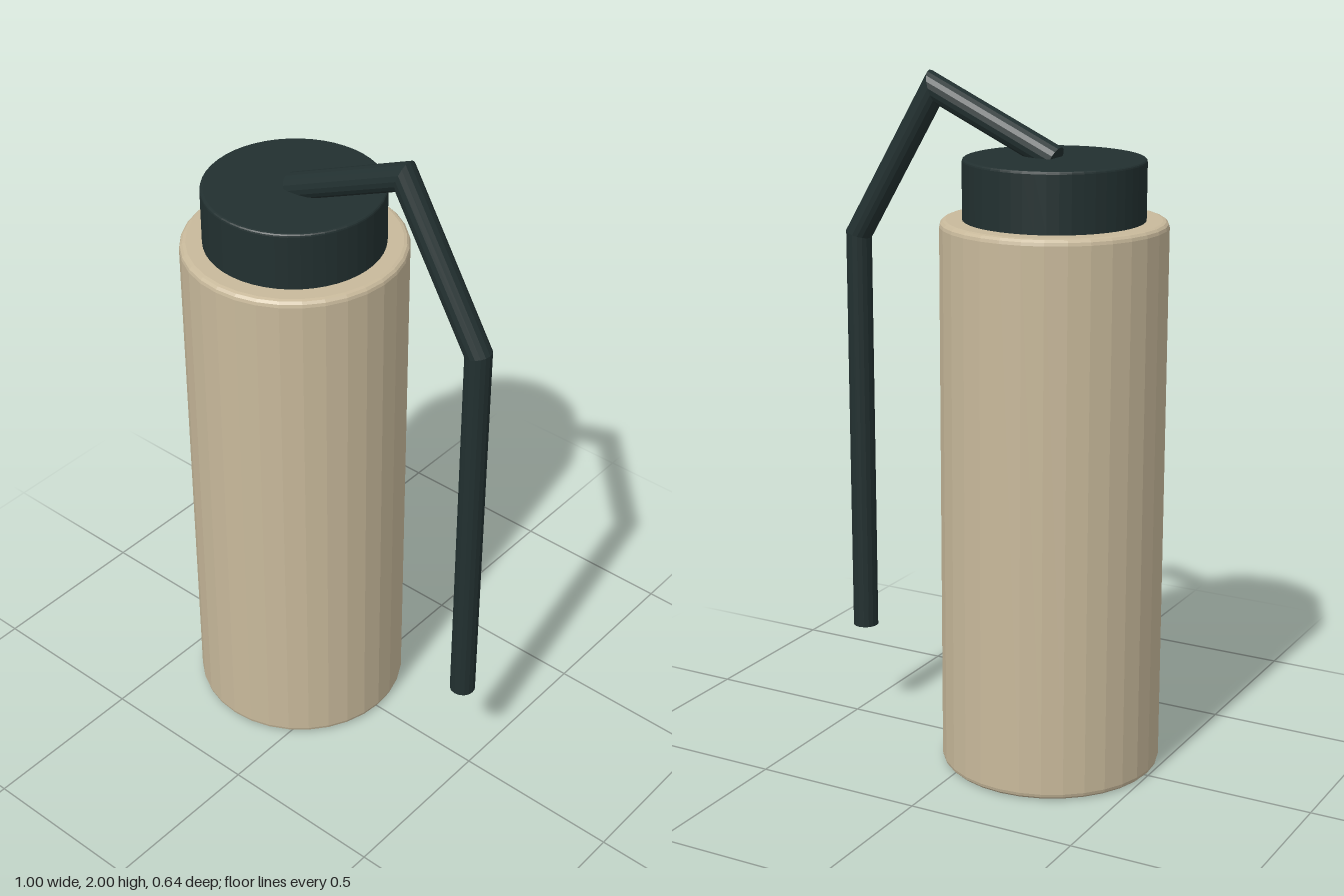
import * as THREE from 'three';

const tan = new THREE.MeshStandardMaterial({ color: 0xc8b99b, flatShading: true });
tan.name = 'tan';
const dark = new THREE.MeshStandardMaterial({ color: 0x223030, flatShading: true });
dark.name = 'dark green';

const AXIS_X = -0.18;

// Closed cylinder with a small rounded edge at both ends
function roundedCylinder(name, radius, y0, y1, bevel, sides, material) {
  const points = [new THREE.Vector2(0, y0)];
  for (let i = 0; i <= 3; i++) {
    const a = (i / 3) * Math.PI / 2;
    points.push(new THREE.Vector2(radius - bevel + bevel * Math.sin(a), y0 + bevel - bevel * Math.cos(a)));
  }
  for (let i = 0; i <= 3; i++) {
    const a = (i / 3) * Math.PI / 2;
    points.push(new THREE.Vector2(radius - bevel + bevel * Math.cos(a), y1 - bevel + bevel * Math.sin(a)));
  }
  points.push(new THREE.Vector2(0, y1));
  const mesh = new THREE.Mesh(new THREE.LatheGeometry(points, sides), material);
  mesh.name = name;
  mesh.position.x = AXIS_X;
  return mesh;
}

// Round rod following a bent path in the xy plane, with mitred corners
function bentRod(path, radius, sides) {
  const rings = path.map((p, i) => {
    const dirIn = p.clone().sub(path[Math.max(i - 1, 0)]).normalize();
    const dirOut = path[Math.min(i + 1, path.length - 1)].clone().sub(p).normalize();
    const tangent = dirIn.clone().add(dirOut).normalize();
    const segment = i === 0 ? dirOut : dirIn;
    const stretch = radius / tangent.dot(segment);
    return { p, nx: -tangent.y * stretch, ny: tangent.x * stretch };
  });
  const positions = [];
  const index = [];
  for (const { p, nx, ny } of rings) {
    for (let j = 0; j < sides; j++) {
      const a = (j / sides) * Math.PI * 2;
      positions.push(p.x + nx * Math.cos(a), p.y + ny * Math.cos(a), radius * Math.sin(a));
    }
  }
  for (let i = 0; i < rings.length - 1; i++) {
    for (let j = 0; j < sides; j++) {
      const a = i * sides + j;
      const b = i * sides + (j + 1) % sides;
      index.push(a, b, a + sides, b, b + sides, a + sides);
    }
  }
  // End caps
  const last = (rings.length - 1) * sides;
  for (let j = 1; j < sides - 1; j++) {
    index.push(0, j + 1, j);
    index.push(last, last + j, last + j + 1);
  }
  const geometry = new THREE.BufferGeometry();
  geometry.setAttribute('position', new THREE.Float32BufferAttribute(positions, 3));
  geometry.setIndex(index);
  geometry.computeVertexNormals();
  return geometry;
}

export function createModel() {
  const model = new THREE.Group();
  model.name = 'pumpBottle';

  model.add(roundedCylinder('body', 0.32, 0, 1.61, 0.018, 32, tan));
  model.add(roundedCylinder('cap', 0.256, 1.6, 1.78, 0.008, 48, dark));

  // Bent spout rising from the cap and hanging down beside the body
  const path = [[-0.183, 1.775], [0.202, 1.952], [0.462, 1.513], [0.462, 0.295]]
    .map(([x, y]) => new THREE.Vector2(x, y));
  const spout = new THREE.Mesh(bentRod(path, 0.038, 16), dark);
  spout.name = 'spout';
  model.add(spout);

  return model;
}
